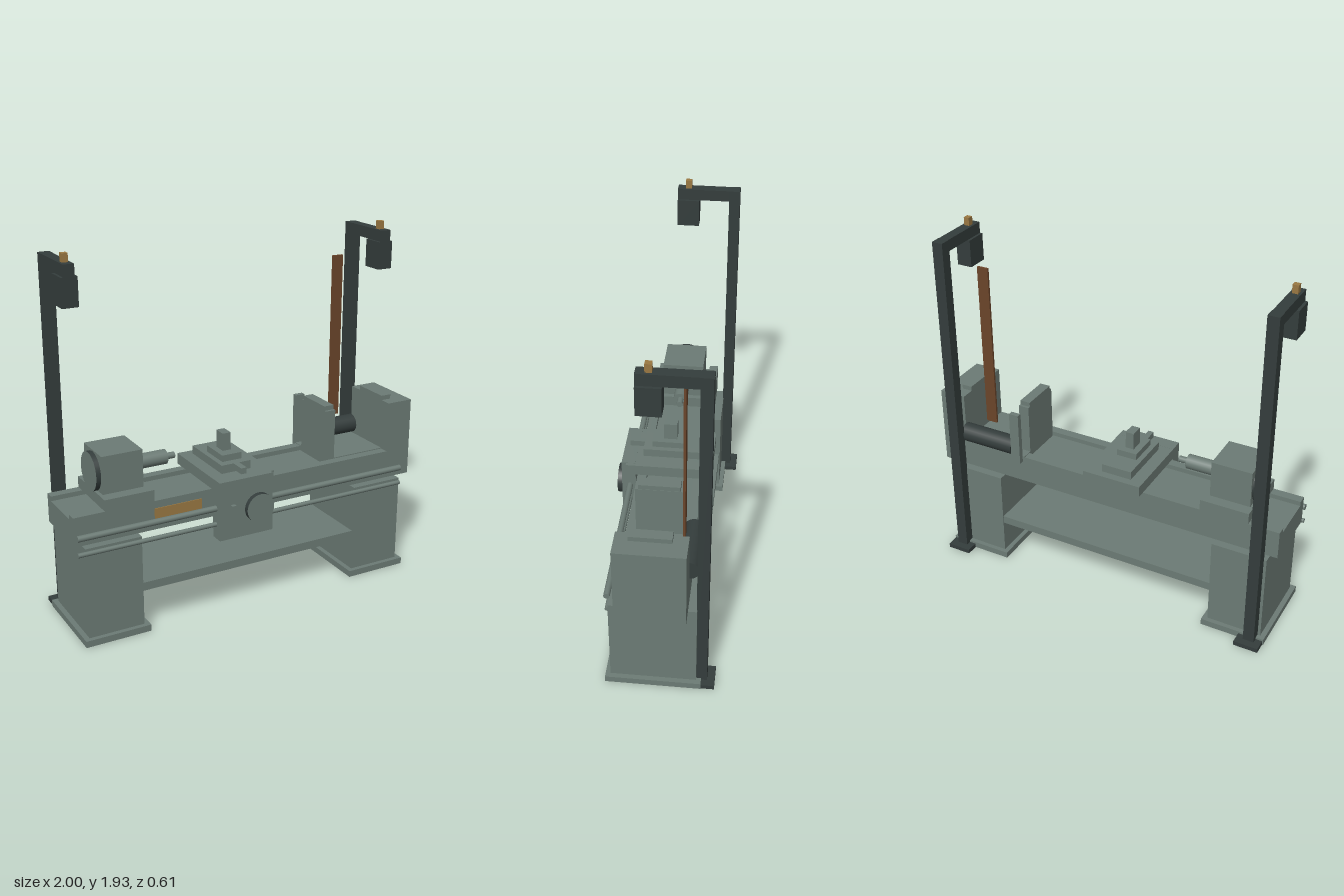
import * as THREE from 'three';

const mat = (name, color) => {
  const m = new THREE.MeshStandardMaterial({ color });
  m.name = name;
  return m;
};

export function createModel() {
  const model = new THREE.Group();
  model.name = 'workshopLathe';
  const paint = mat('grey green paint', 0x6c7b75);
  const iron = mat('dark iron', 0x343d3c);
  const leather = mat('brown leather', 0x6b452a);
  const brass = mat('brass', 0x9a7842);

  // Box given by its limits on each axis
  const box = (name, m, x0, x1, y0, y1, z0, z1) => {
    const mesh = new THREE.Mesh(new THREE.BoxGeometry(x1 - x0, y1 - y0, z1 - z0), m);
    mesh.position.set((x0 + x1) / 2, (y0 + y1) / 2, (z0 + z1) / 2);
    mesh.name = name;
    model.add(mesh);
    return mesh;
  };
  // Cylinder along x
  const rod = (name, m, x0, x1, y, z, r, sides = 24) => {
    const mesh = new THREE.Mesh(new THREE.CylinderGeometry(r, r, x1 - x0, sides), m);
    mesh.rotation.z = -Math.PI / 2;
    mesh.position.set((x0 + x1) / 2, y, z);
    mesh.name = name;
    model.add(mesh);
    return mesh;
  };

  // Pedestals with feet, and the shelf between them
  for (const [side, x] of [['right', -0.81], ['left', 0.76]]) {
    box(side + 'Pedestal', paint, x - 0.15, x + 0.15, 0.035, 0.525, -0.21, 0.23);
    box(side + 'Foot', paint, x - 0.177, x + 0.177, 0, 0.035, -0.235, 0.255);
  }
  box('shelf', paint, -0.66, 0.61, 0.22, 0.265, -0.205, 0.225);

  // Bed and its rails
  box('bed', paint, -1, 0.91, 0.525, 0.655, -0.165, 0.187);
  for (const [z0, z1] of [[-0.165, -0.115], [0.137, 0.187]])
    box('bedRail', paint, -1, 0.86, 0.655, 0.68, z0, z1);
  box('makersPlate', brass, -0.568, -0.305, 0.55, 0.64, 0.186, 0.192);

  // Feed rods along the front
  rod('leadScrew', paint, -1, 0.91, 0.588, 0.232, 0.016);
  rod('feedRod', paint, -1, 0.91, 0.5, 0.232, 0.012);

  // Headstock housing, bearing plate and drive drum
  box('headstock', paint, 0.85, 1, 0.525, 0.96, -0.165, 0.187);
  box('headstockBase', paint, 0.475, 0.85, 0.65, 0.684, -0.165, 0.135);
  box('bearingPlate', paint, 0.475, 0.535, 0.68, 0.96, -0.105, 0.135);
  for (const x of [0.475, 0.85])
    box('bearingCap', paint, x, x + 0.058, 0.96, 0.985, -0.09, 0.12);
  box('beltGuide', paint, 0.48, 0.535, 0.66, 0.96, -0.205, -0.177);
  rod('driveDrum', iron, 0.535, 0.85, 0.74, -0.163, 0.052);
  box('driveBelt', leather, 0.665, 0.728, 0.83, 1.74, -0.133, -0.121);

  // Tailstock
  box('tailstockBase', paint, -0.833, -0.567, 0.68, 0.74, -0.165, 0.187);
  box('tailstockBody', paint, -0.815, -0.595, 0.74, 0.94, -0.105, 0.122);
  rod('quill', paint, -0.6, -0.42, 0.83, 0.008, 0.039);
  rod('quillTip', paint, -0.42, -0.37, 0.83, 0.008, 0.017);
  rod('tailstockHandwheel', [iron, paint, paint], -0.84, -0.815, 0.83, 0.008, 0.102, 32);

  // Carriage: saddle, apron, slides and tool post
  box('saddle', paint, -0.245, 0.085, 0.68, 0.74, -0.21, 0.25);
  box('apron', paint, -0.245, 0.065, 0.42, 0.741, 0.2, 0.275);
  box('crossSlide', paint, -0.175, -0.005, 0.74, 0.785, -0.167, 0.165);
  box('topSlide', paint, -0.147, -0.033, 0.785, 0.82, -0.05, 0.12);
  box('toolPost', paint, -0.112, -0.065, 0.82, 0.915, -0.012, 0.06);
  box('slideHandle', paint, -0.105, -0.073, 0.753, 0.785, 0.165, 0.245);
  box('apronLever', paint, -0.183, -0.16, 0.485, 0.61, 0.275, 0.297);
  const wheel = rod('apronHandwheel', [iron, paint, paint], -0.014, 0.014, 0.568, 0.288, 0.079, 32);
  wheel.rotation.set(Math.PI / 2, 0, 0);
  wheel.position.x = -0.02;

  // Overhead posts with arms, hanging boxes and brass knobs
  for (const [side, x] of [['right', -0.915], ['left', 0.866]]) {
    box(side + 'PostBase', iron, x - 0.067, x + 0.067, 0, 0.024, -0.304, -0.235);
    box(side + 'Post', iron, x - 0.03, x + 0.03, 0.02, 1.89, -0.265, -0.207);
    box(side + 'Arm', iron, x - 0.028, x + 0.028, 1.83, 1.89, -0.207, 0.072);
    box(side + 'HangerBox', iron, x - 0.042, x + 0.042, 1.683, 1.83, -0.045, 0.072);
    box(side + 'Knob', brass, x - 0.015, x + 0.015, 1.89, 1.933, -0.002, 0.03);
  }
  return model;
}
